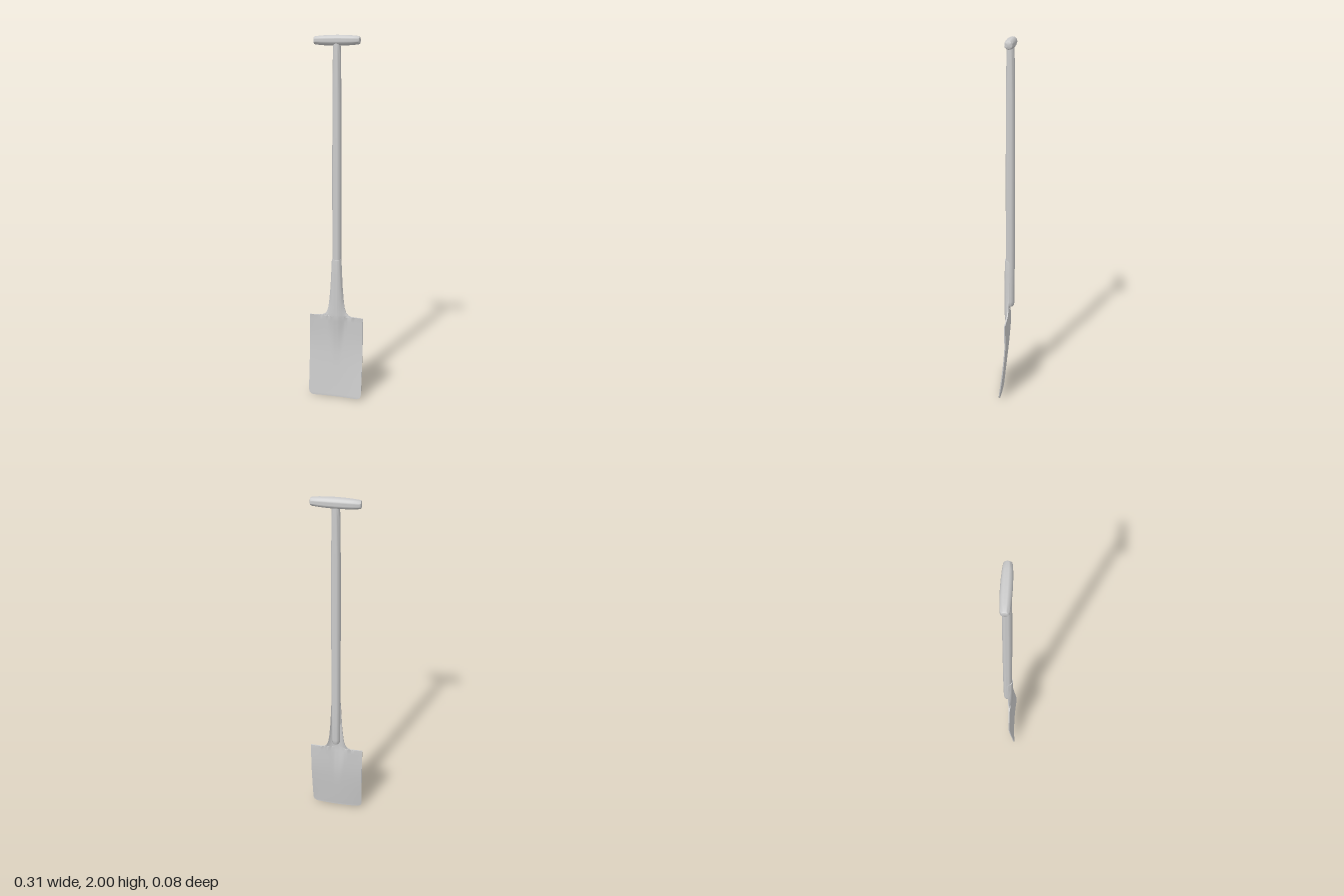
import * as THREE from 'three';
import { toCreasedNormals } from 'three/addons/utils/BufferGeometryUtils.js';

const AXIS_Z = -0.013;
const COLUMNS = 36;
const THICKNESS = 0.006;

// Blade and socket cross-sections, bottom to top:
// y, half width, front z, edge curl, ridge height, ridge half width, ridge power
const SECTIONS = [
  [0.000, 0.125, 0.031, 0.009, 0, 0.03, 2],
  [0.004, 0.138, 0.031, 0.009, 0, 0.03, 2],
  [0.013, 0.148, 0.030, 0.009, 0, 0.03, 2],
  [0.030, 0.153, 0.028, 0.009, 0, 0.03, 2],
  [0.100, 0.153, 0.021, 0.007, 0, 0.03, 2],
  [0.180, 0.153, 0.013, 0.005, 0, 0.03, 2],
  [0.260, 0.153, 0.006, 0.004, 0.001, 0.03, 2],
  [0.330, 0.153, 0.002, 0.003, 0.004, 0.04, 2],
  [0.400, 0.153, 0.001, 0.004, 0.010, 0.05, 2],
  [0.450, 0.153, 0.001, 0.005, 0.015, 0.06, 1.7],
  [0.478, 0.153, 0.001, 0.005, 0.018, 0.062, 1.5],
  [0.480, 0.085, 0.001, 0.005, 0.018, 0.062, 1.5],
  [0.487, 0.068, 0.000, 0.004, 0.019, 0.060, 1.3],
  [0.500, 0.056, -0.001, 0.003, 0.020, 0.056, 1.1],
  [0.530, 0.046, -0.002, 0, 0.021, 0.046, 0.9],
  [0.580, 0.040, -0.003, 0, 0.022, 0.040, 0.75],
  [0.650, 0.034, -0.004, 0, 0.023, 0.034, 0.6],
  [0.730, 0.030, -0.005, 0, 0.023, 0.030, 0.5],
  [0.800, 0.027, -0.006, 0, 0.023, 0.027, 0.5],
  [0.810, 0.024, -0.006, 0, 0.022, 0.026, 0.5],
];

// Closed loft: each ring runs along the front sheet and returns along the back
function bladeGeometry() {
  const positions = [], index = [];
  const ring = 2 * (COLUMNS + 1);
  for (const [y, width, base, curl, ridge, ridgeWidth, power] of SECTIONS) {
    for (let i = 0; i < ring; i++) {
      const front = i <= COLUMNS;
      const column = front ? i : ring - 1 - i;
      const x = width * (2 * column / COLUMNS - 1);
      const bump = Math.max(0, 1 - (x / ridgeWidth) ** 2) ** power;
      const z = base + curl * (x / 0.153) ** 2 + ridge * bump;
      positions.push(x, y, front ? z : z - THICKNESS);
    }
  }
  for (let r = 0; r < SECTIONS.length - 1; r++) {
    for (let i = 0; i < ring; i++) {
      const j = (i + 1) % ring;
      const a = r * ring + i, b = r * ring + j;
      index.push(a, b, b + ring, a, b + ring, a + ring);
    }
  }
  // Cutting edge and upper rim
  const top = (SECTIONS.length - 1) * ring;
  for (let i = 0; i < COLUMNS; i++) {
    const back = ring - 1 - i;
    index.push(i, back, back - 1, i, back - 1, i + 1);
    index.push(top + i, top + i + 1, top + back - 1, top + i, top + back - 1, top + back);
  }
  const geometry = new THREE.BufferGeometry();
  geometry.setAttribute('position', new THREE.Float32BufferAttribute(positions, 3));
  geometry.setIndex(index);
  return toCreasedNormals(geometry, 0.7);
}

// Turned wooden part from [radius, height] pairs
function turned(profile) {
  const points = profile.map(([r, h]) => new THREE.Vector2(r, h));
  return toCreasedNormals(new THREE.LatheGeometry(points, 24), 0.7);
}

export function createModel() {
  const group = new THREE.Group();
  const material = new THREE.MeshStandardMaterial({ color: 0xcccccc, side: THREE.DoubleSide });
  const add = (name, geometry) => {
    const mesh = new THREE.Mesh(geometry, material);
    mesh.name = name;
    group.add(mesh);
    return mesh;
  };

  add('bladeAndSocket', bladeGeometry());

  // Shaft tapers slightly towards the grip
  const shaft = add('shaft', turned([
    [0, 0.53], [0.018, 0.53], [0.022, 0.537], [0.0235, 0.56],
    [0.025, 0.8], [0.025, 1.3], [0.0235, 1.7], [0.021, 1.9], [0.019, 1.965], [0, 1.965],
  ]));
  shaft.position.z = AXIS_Z;

  // Barrel-shaped cross grip
  const half = [[0.027, 0], [0.0262, 0.04], [0.0242, 0.08], [0.021, 0.112], [0.0185, 0.119], [0.015, 0.121], [0, 0.121]];
  const lower = half.slice(1).reverse().map(([r, h]) => [r, -h]);
  const grip = add('crossGrip', turned([...lower, ...half]));
  grip.rotation.z = Math.PI / 2;
  grip.position.set(0, 1.973, AXIS_Z - 0.002);

  return group;
}
